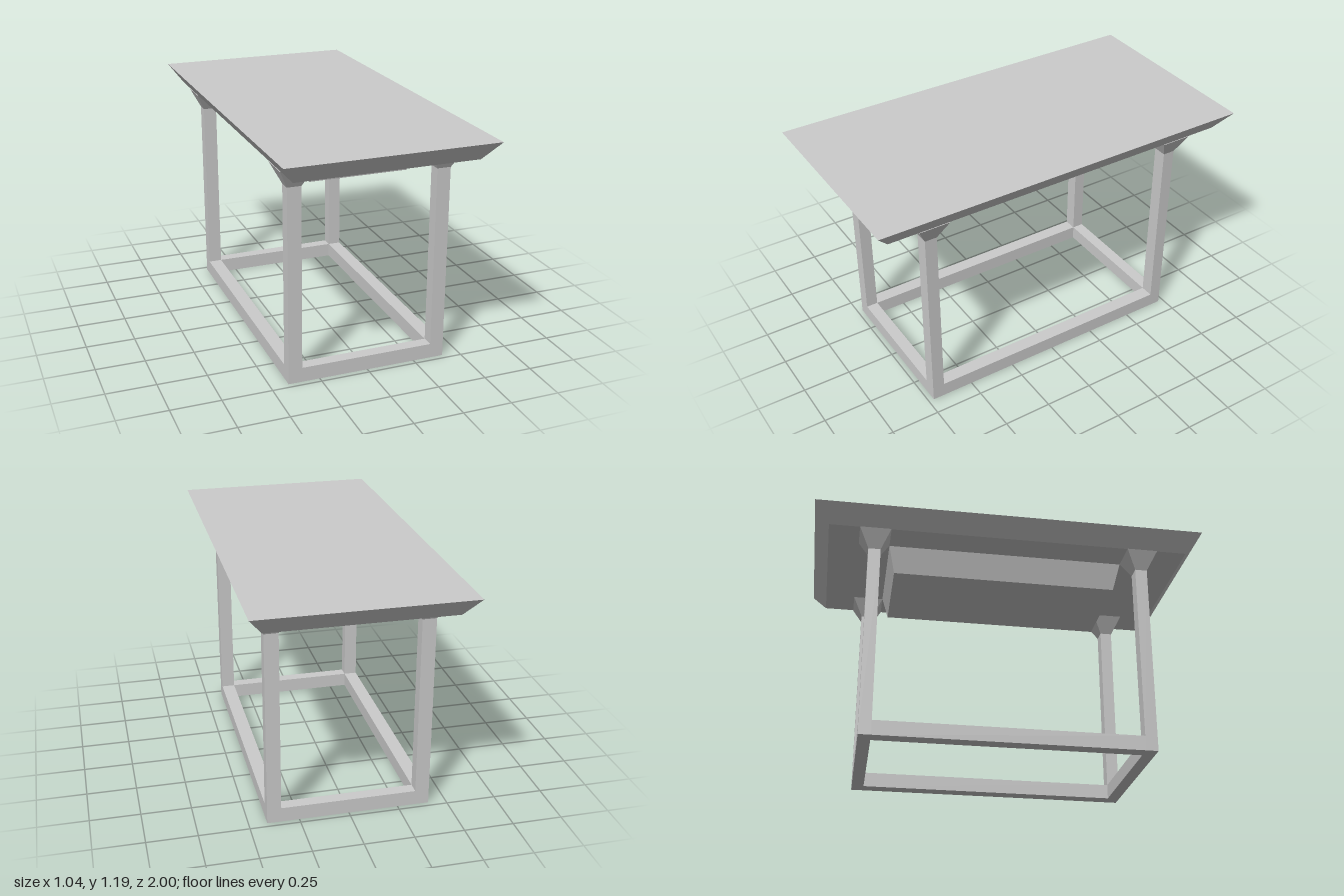
import * as THREE from 'three';

const material = new THREE.MeshStandardMaterial({ color: 0xcccccc, flatShading: true });

// Box between two heights whose bottom and top half sizes (x, z) may differ
function taperedBlock(name, y0, y1, [bx, bz], [tx, tz]) {
  const geometry = new THREE.BoxGeometry(2, y1 - y0, 2);
  const p = geometry.attributes.position;
  for (let i = 0; i < p.count; i++) {
    const top = p.getY(i) > 0;
    p.setX(i, p.getX(i) * (top ? tx : bx));
    p.setZ(i, p.getZ(i) * (top ? tz : bz));
  }
  geometry.translate(0, (y0 + y1) / 2, 0);
  geometry.computeVertexNormals();
  const mesh = new THREE.Mesh(geometry, material);
  mesh.name = name;
  return mesh;
}

export function createModel() {
  const table = new THREE.Group();
  table.name = 'table';

  const legX = 0.375, legZ = 0.691;   // leg centres
  const halfX = 0.035, halfZ = 0.031; // leg half thickness
  const railTop = 0.075, legTop = 1.0, underside = 1.095, topY = 1.19;

  // Bevelled top and the shallow tray below it
  table.add(taperedBlock('tableTop', underside, topY, [0.453, 0.925], [0.522, 1]));
  table.add(taperedBlock('underTray', 0.96, underside, [0.25, 0.58], [0.291, 0.612]));

  // Legs with flared capitals
  for (const [sx, xName] of [[1, 'Left'], [-1, 'Right']]) {
    for (const [sz, zName] of [[1, 'front'], [-1, 'back']]) {
      const leg = new THREE.Group();
      leg.name = `${zName}${xName}Leg`;
      leg.add(taperedBlock('post', 0, legTop, [halfX, halfZ], [halfX, halfZ]));
      leg.add(taperedBlock('capital', legTop, underside, [halfX, halfZ], [0.082, 0.079]));
      leg.position.set(sx * legX, 0, sz * legZ);
      table.add(leg);
    }
  }

  // Floor rails joining the legs
  const endHalf = [legX - halfX, halfZ], sideHalf = [halfX, legZ - halfZ];
  for (const s of [1, -1]) {
    const endRail = taperedBlock(s > 0 ? 'frontRail' : 'backRail', 0, railTop, endHalf, endHalf);
    endRail.position.z = s * legZ;
    const sideRail = taperedBlock(s > 0 ? 'leftRail' : 'rightRail', 0, railTop, sideHalf, sideHalf);
    sideRail.position.x = s * legX;
    table.add(endRail, sideRail);
  }

  return table;
}
